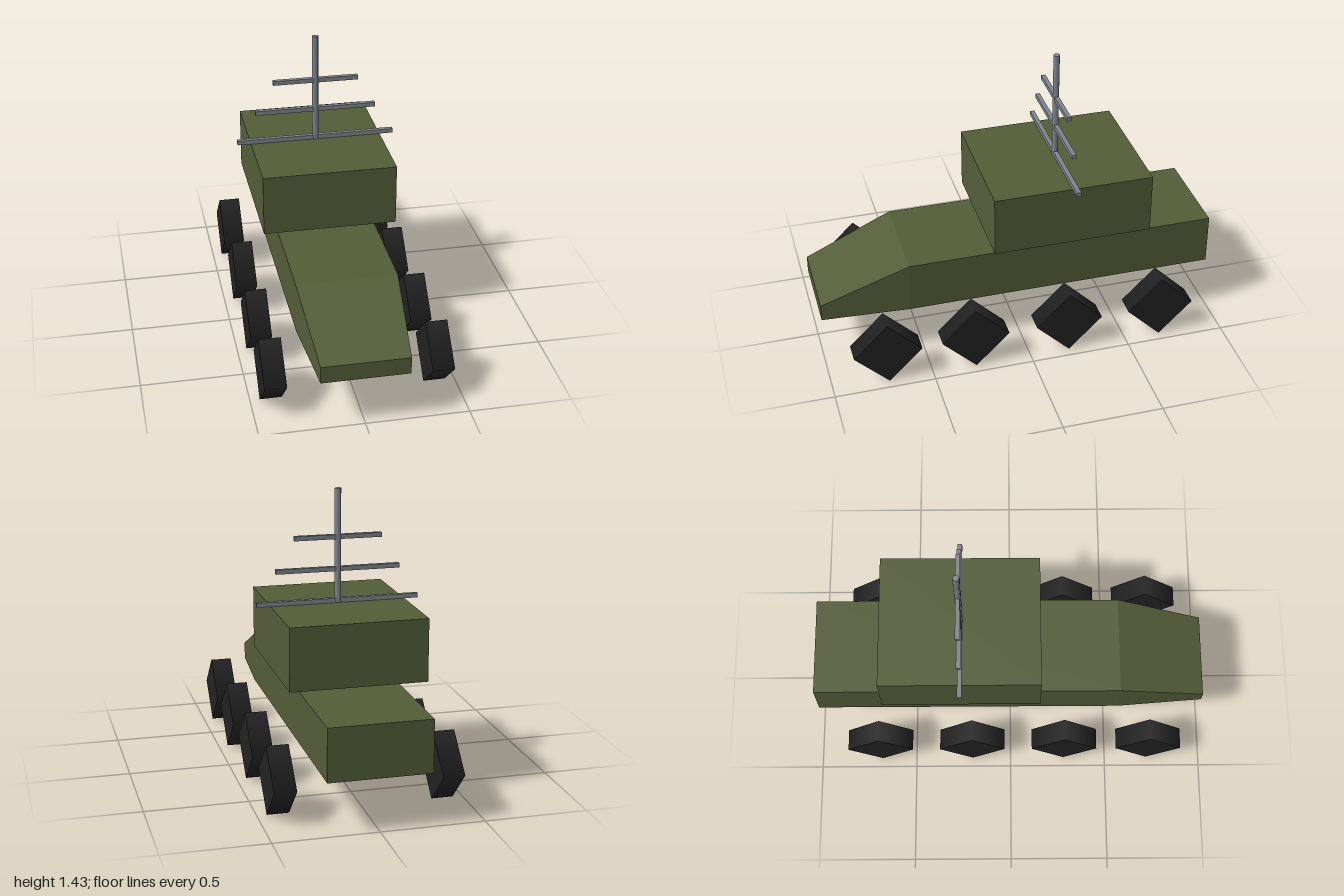
import * as THREE from 'three';

export function createModel() {
  const model = new THREE.Group();
  const olive = new THREE.MeshStandardMaterial({ name: 'olive', color: 0x535d38 });
  const rubber = new THREE.MeshStandardMaterial({ name: 'rubber', color: 0x222222 });
  const steel = new THREE.MeshStandardMaterial({ name: 'steel', color: 0x7f868e });

  const add = (name, geometry, material, x, y, z, parent = model) => {
    const mesh = new THREE.Mesh(geometry, material);
    mesh.name = name;
    mesh.position.set(x, y, z);
    parent.add(mesh);
    return mesh;
  };

  // Hull: a box with a middle ring of vertices; the front end tapers to a nose
  const sections = [
    { z: -1, half: 0.247, bottom: 0.257, top: 0.515 },
    { z: 0.56, half: 0.247, bottom: 0.257, top: 0.515 },
    { z: 1, half: 0.212, bottom: 0.252, top: 0.338 },
  ];
  const box = new THREE.BoxGeometry(2, 2, 2, 1, 1, 2);
  const p = box.attributes.position;
  for (let i = 0; i < p.count; i++) {
    const s = sections[Math.round(p.getZ(i)) + 1];
    p.setXYZ(i, Math.sign(p.getX(i)) * s.half, p.getY(i) > 0 ? s.top : s.bottom, s.z);
  }
  const hull = box.toNonIndexed();
  hull.computeVertexNormals();
  add('hull', hull, olive, 0, 0, 0);

  // Raised cabin floating above the hull
  add('cabin', new THREE.BoxGeometry(0.664, 0.306, 0.796), olive, 0, 0.725, -0.247);

  // Four-sided wheels, standing on a corner
  const wheelGeometry = new THREE.CylinderGeometry(0.169, 0.169, 0.106, 4).rotateZ(Math.PI / 2);
  const wheels = new THREE.Group();
  wheels.name = 'wheels';
  model.add(wheels);
  for (const z of [0.72, 0.28, -0.2, -0.68]) {
    for (const side of [1, -1]) {
      add(side > 0 ? 'leftWheel' : 'rightWheel', wheelGeometry, rubber, side * 0.4, 0.169, z, wheels);
    }
  }

  // Antenna: mast with three crossbars shrinking upward
  const antenna = new THREE.Group();
  antenna.name = 'antenna';
  antenna.position.z = -0.247;
  model.add(antenna);
  add('mast', new THREE.CylinderGeometry(0.016, 0.016, 0.556, 8), steel, 0, 1.156, 0, antenna);
  for (const [length, y] of [[0.8, 0.889], [0.612, 1.044], [0.43, 1.2]]) {
    add('crossbar', new THREE.BoxGeometry(length, 0.022, 0.022), steel, 0, y, 0, antenna);
  }

  return model;
}
